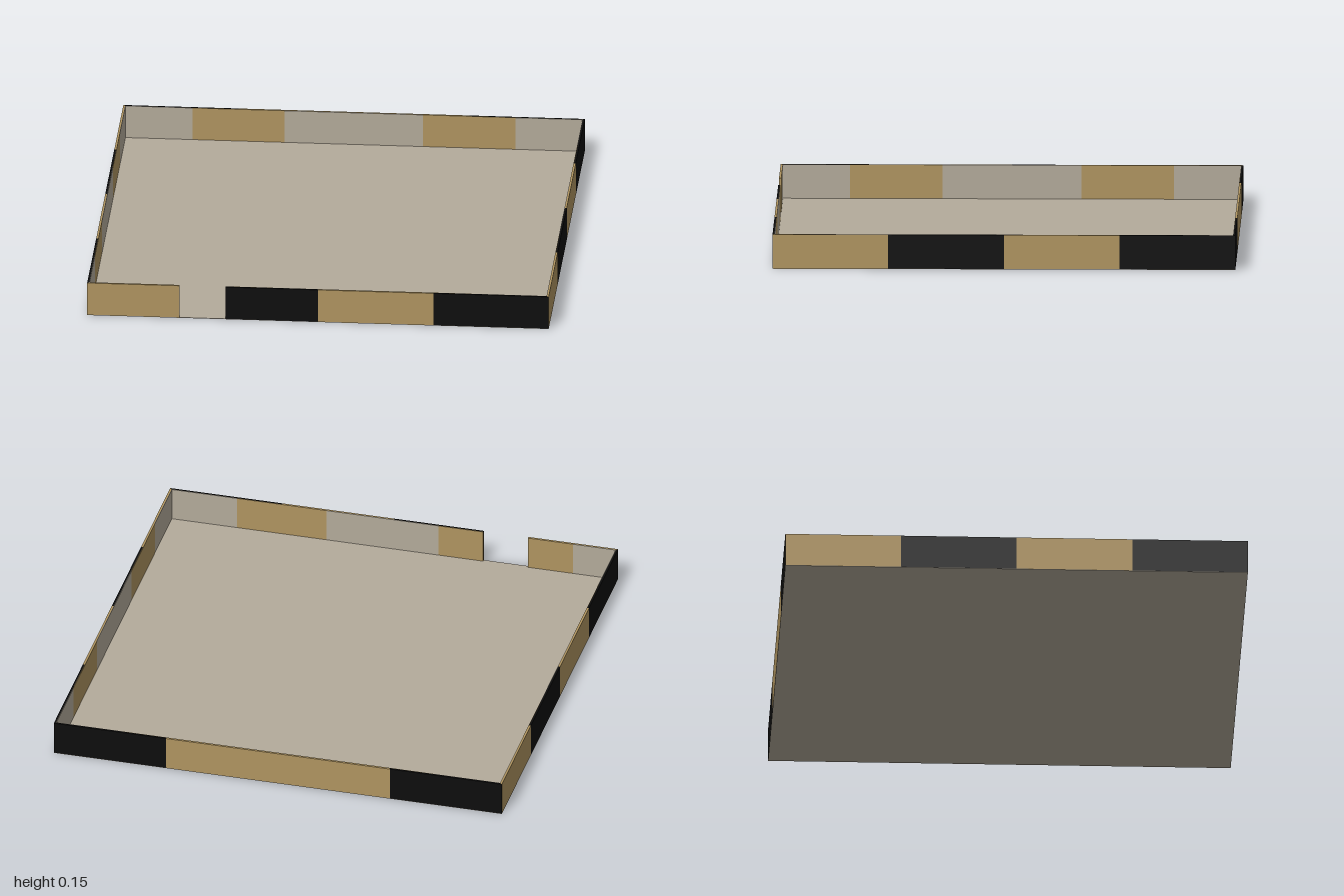
import * as THREE from 'three';

const HEIGHT = 0.15;
const FLOOR = 0.002; // floor thickness
const INNER = 0.99, MID = 0.992, OUTER = 1; // wall layers, measured from the centre

function flat(name, color) {
  const m = new THREE.MeshStandardMaterial({ color });
  m.name = name;
  return m;
}

export function createModel() {
  const tan = flat('tan', 0xb09560);
  const black = flat('black', 0x0d0d0d);
  const beige = flat('beige', 0xb4ab9b);

  const model = new THREE.Group();
  model.name = 'walledTray';

  const floor = new THREE.Mesh(new THREE.BoxGeometry(2, FLOOR, 2), beige);
  floor.name = 'floor';
  floor.position.y = FLOOR / 2;
  model.add(floor);

  // One upright panel from a to b along the wall, mitred where it meets a corner
  function panel(name, a, b, near, far, material) {
    const at = (u, r) => THREE.MathUtils.clamp(u, -r, r);
    const shape = new THREE.Shape([
      new THREE.Vector2(at(a, near), near),
      new THREE.Vector2(at(b, near), near),
      new THREE.Vector2(at(b, far), far),
      new THREE.Vector2(at(a, far), far),
    ]);
    const geometry = new THREE.ExtrudeGeometry(shape, { depth: HEIGHT - FLOOR, bevelEnabled: false });
    geometry.rotateX(-Math.PI / 2).translate(0, FLOOR, 0);
    const mesh = new THREE.Mesh(geometry, material);
    mesh.name = name;
    return mesh;
  }

  // Panels run clockwise seen from above: [start, end, material]
  const sideOutside = [[-1, -0.5, black], [-0.5, 0, tan], [0, 0.5, black], [0.5, 1, tan]];
  const backOutside = [[-1, -0.5, black], [-0.5, 0.5, tan], [0.5, 1, black]];
  const frontOutside = [[-1, -0.5, black], [-0.5, 0, tan], [0, 0.4, black], [0.6, 1, tan]];
  const plainInside = [[-1, -0.7, beige], [-0.7, -0.3, tan], [-0.3, 0.3, beige], [0.3, 0.7, tan], [0.7, 1, beige]];
  // The front wall leaves a doorway between 0.4 and 0.6
  const frontInside = [[-1, -0.7, beige], [-0.7, -0.3, tan], [-0.3, 0.2, beige], [0.2, 0.4, tan],
    [0.6, 0.8, tan], [0.8, 1, beige]];

  const walls = [
    ['backWall', 0, backOutside, plainInside],
    ['frontWall', Math.PI, frontOutside, frontInside],
    ['leftWall', -Math.PI / 2, sideOutside, plainInside],
    ['rightWall', Math.PI / 2, sideOutside, plainInside],
  ];
  for (const [name, turn, outside, inside] of walls) {
    const wall = new THREE.Group();
    wall.name = name;
    wall.rotation.y = turn;
    for (const [a, b, m] of outside) wall.add(panel('outerPanel', a, b, MID, OUTER, m));
    for (const [a, b, m] of inside) wall.add(panel('innerPanel', a, b, INNER, MID, m));
    model.add(wall);
  }
  return model;
}
